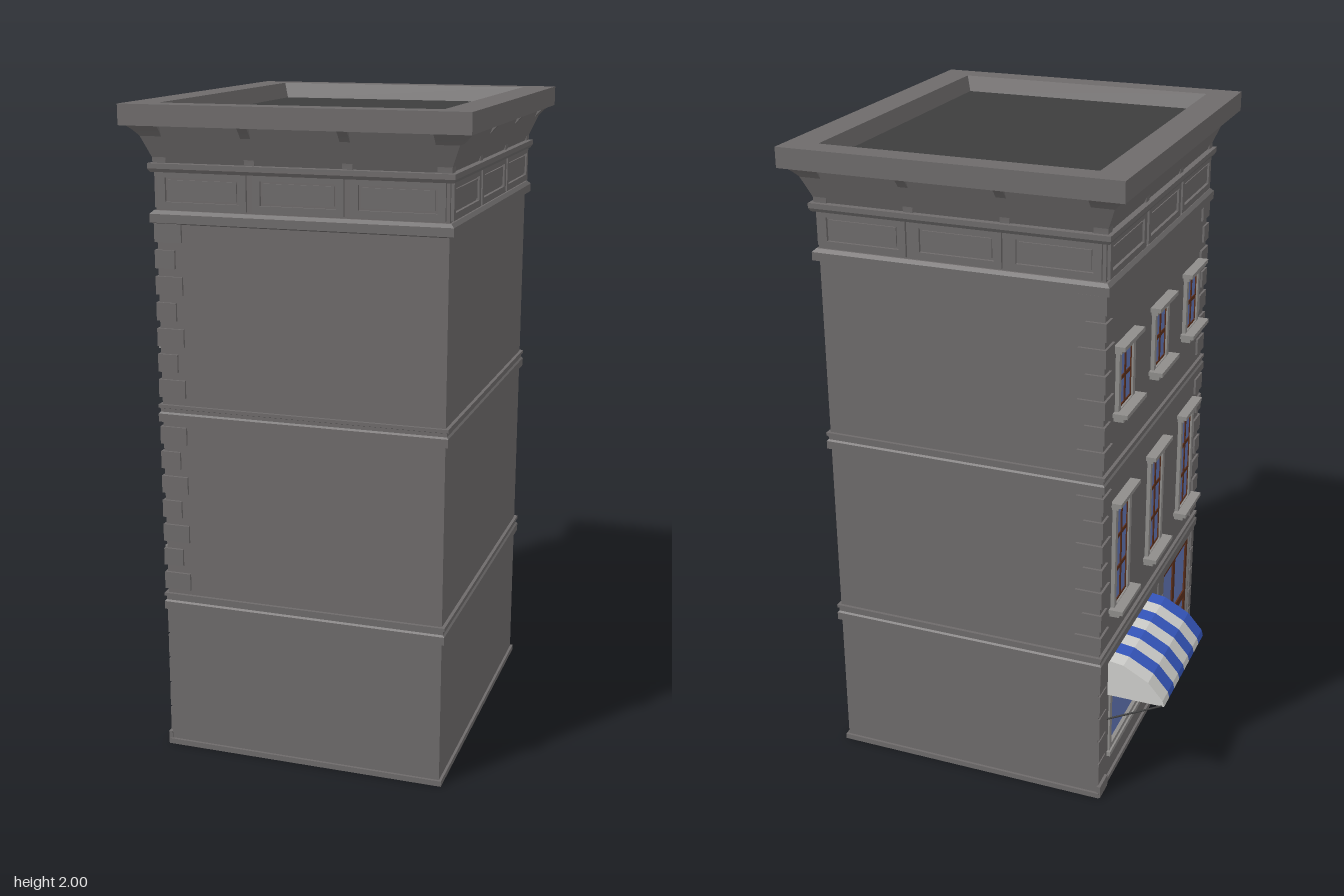
import * as THREE from 'three';

const mat = (name, color, side = THREE.FrontSide) => {
  const m = new THREE.MeshStandardMaterial({ color, side });
  m.name = name;
  return m;
};

export function createModel() {
  const stone = mat('grey stone', 0x6e6b6b, THREE.DoubleSide);
  const trim = mat('light trim', 0x8f8d8b);
  const tar = mat('dark roof', 0x3d3d3d, THREE.DoubleSide);
  const glass = mat('blue glass', 0x6277b8, THREE.DoubleSide);
  const wood = mat('brown wood', 0x5c2f1c);
  const blue = mat('awning blue', 0x3556bd, THREE.DoubleSide);
  const white = mat('awning white', 0xcfcfcc, THREE.DoubleSide);

  const model = new THREE.Group();
  model.name = 'cornerBuilding';
  const CX = 0.053, HX = 0.435, HZ = 0.513;

  const add = (parent, name, geo, m) => {
    const mesh = new THREE.Mesh(geo, m);
    mesh.name = name;
    parent.add(mesh);
    return mesh;
  };
  // box from its minimum and maximum on each axis
  const box = (parent, name, m, x0, x1, y0, y1, z0, z1) =>
    add(parent, name, new THREE.BoxGeometry(x1 - x0, y1 - y0, z1 - z0), m)
      .position.set((x0 + x1) / 2, (y0 + y1) / 2, (z0 + z1) / 2);
  // sweep a profile of [out, y, outZ] round the four sides of the body
  const moulding = (name, m, profile) => {
    const signs = [[-1, 1], [1, 1], [1, -1], [-1, -1]], pos = [];
    const at = ([o, y, oz = o], [sx, sz]) => [CX + sx * (HX + o), y, sz * (HZ + oz)];
    for (let i = 0; i < profile.length - 1; i++)
      for (let s = 0; s < 4; s++) {
        const a = signs[s], b = signs[(s + 1) % 4], lo = profile[i], hi = profile[i + 1];
        pos.push(...at(lo, a), ...at(lo, b), ...at(hi, b), ...at(lo, a), ...at(hi, b), ...at(hi, a));
      }
    const geo = new THREE.BufferGeometry();
    geo.setAttribute('position', new THREE.Float32BufferAttribute(pos, 3));
    geo.computeVertexNormals();
    return add(model, name, geo, m);
  };
  // rectangular shape, and a flat frame with rectangular holes
  const rect = (C, x0, x1, y0, y1) => {
    const s = new C();
    s.moveTo(x0, y0).lineTo(x1, y0).lineTo(x1, y1).lineTo(x0, y1).closePath();
    return s;
  };
  const frame = (outer, holes, depth) => {
    const s = rect(THREE.Shape, ...outer);
    holes.forEach(h => s.holes.push(rect(THREE.Path, ...h)));
    return new THREE.ExtrudeGeometry(s, { depth, bevelEnabled: false });
  };
  const plane = (name, w, d, y, up) => {
    const mesh = add(model, name, new THREE.PlaneGeometry(w, d), tar);
    mesh.rotation.x = up ? -Math.PI / 2 : Math.PI / 2;
    mesh.position.set(CX, y, 0);
    return mesh;
  };

  // main walls, ground floor open underneath
  const X0 = CX - HX, X1 = CX + HX, T = 0.012;
  moulding('upperWalls', stone, [[0, 0.46], [0, 1.84]]);
  box(model, 'groundWallFront', stone, X0, X1, 0, 0.47, HZ - T, HZ);
  box(model, 'groundWallBack', stone, X0, X1, 0, 0.47, -HZ, -HZ + T);
  box(model, 'groundWallSide', stone, X1 - T, X1, 0, 0.47, -HZ + T, HZ - T);
  plane('shopCeiling', HX * 2, HZ * 2, 0.49, false);

  // base strip, storey bands and frieze ledges
  const plinth = (x0, x1, z0, z1) => box(model, 'basePlinth', stone, x0, x1, 0, 0.017, z0, z1);
  plinth(X0 - 0.008, X1 + 0.008, HZ - T, HZ + 0.008);
  plinth(X0 - 0.008, X1 + 0.008, -HZ - 0.008, -HZ + T);
  plinth(X1 - T, X1 + 0.008, -HZ, HZ);
  for (const y of [0.46, 1.062])
    moulding('storeyBand', stone, [[0, y], [0.01, y], [0.01, y + 0.025], [0.005, y + 0.03],
      [0.005, y + 0.041], [0.01, y + 0.043], [0.01, y + 0.053], [0, y + 0.053]]);
  moulding('friezeLowerLedge', stone, [[0, 1.655], [0.016, 1.66], [0.016, 1.685], [0.006, 1.695], [0, 1.695]]);
  moulding('friezeUpperLedge', stone, [[0, 1.805], [0.012, 1.805], [0.018, 1.815], [0.018, 1.83], [-0.02, 1.832]]);

  // cornice: sloping soffit, overhanging slab, parapet lip and roof
  moulding('corniceSoffit', stone, [[0, 1.83], [0.045, 1.942]]);
  moulding('corniceSlab', stone, [[0, 1.94], [0.075, 1.94, 0.08], [0.075, 2, 0.08],
    [-0.02, 2, 0.004], [-0.036, 1.95, -0.012]]);
  plane('flatRoof', (HX - 0.036) * 2, (HZ - 0.012) * 2, 1.952, true);

  // curved brackets: the outer vertices of a box flare with height
  const bracket = (parent, x0, x1, z0, z1, flareX, flareZ) => {
    const geo = new THREE.BoxGeometry(x1 - x0, 0.112, z1 - z0, 1, 7, 1);
    geo.translate((x0 + x1) / 2, 1.886, (z0 + z1) / 2);
    const p = geo.attributes.position;
    for (let i = 0; i < p.count; i++) {
      const t = Math.max(0, (p.getY(i) - 1.83) / 0.112), out = 0.006 + 0.058 * t ** 2.3;
      if (flareX && (p.getX(i) - (x0 + x1) / 2) * flareX > 0) p.setX(i, p.getX(i) + flareX * out);
      if (flareZ && (p.getZ(i) - (z0 + z1) / 2) * flareZ > 0) p.setZ(i, p.getZ(i) + flareZ * out);
    }
    geo.computeVertexNormals();
    add(parent, 'corniceBracket', geo, stone);
  };
  const span = (s, edge, w) => s > 0 ? [edge - w, edge] : [-edge, -edge + w];
  for (const sx of [-1, 1]) for (const sz of [-1, 1]) {
    const [a, b] = span(sx, HX, 0.035), [c, d] = span(sz, HZ, 0.03);
    bracket(model, CX + a, CX + b, c, d, sx, sz);
  }

  // each side in its own frame: x along the wall, z outward
  const sides = [0, 1, 2, 3].map(k => {
    const g = new THREE.Group(), across = k % 2 ? HX : HZ, half = k % 2 ? HZ : HX;
    g.name = ['frontSide', 'rightSide', 'backSide', 'streetSide'][k];
    g.rotation.y = k * Math.PI / 2;
    g.position.set(CX + Math.sin(g.rotation.y) * across, 0, Math.cos(g.rotation.y) * across);
    model.add(g);
    const pitch = half * 2 / 3;
    for (const i of [-1, 0, 1]) {
      const c = i * pitch, w = pitch / 2 - 0.01;
      add(g, 'friezePanelFrame', frame([c - w, c + w, 1.7, 1.805],
        [[c - w + 0.022, c + w - 0.022, 1.72, 1.79]], 0.009), stone);
      box(g, 'friezePanel', stone, c - w + 0.03, c + w - 0.03, 1.727, 1.783, 0, 0.005);
    }
    for (const s of [-0.5, 0.5]) bracket(g, s * pitch - 0.015, s * pitch + 0.015, -0.05, 0, 0, 1);
    return g;
  });

  // corner quoins, alternating long and short
  for (const sz of [-1, 1]) for (const start of [0.555, 1.165])
    for (let i = 0; i < 7; i++) {
      const len = i % 2 ? 0.055 : 0.077, y = start + i * 0.0775;
      const [z0, z1] = span(sz, HZ + 0.008, len);
      box(model, 'quoin', stone, X0 - 0.007, X0 + len, y - 0.027, y + 0.027, z0, z1);
    }

  // street side: shopfront wall with window and door openings
  const street = sides[3];
  const wall = add(street, 'shopfrontWall', frame([-HZ, HZ, 0, 0.47],
    [[-0.4, 0.02, 0.12, 0.42], [0.15, 0.48, 0.012, 0.435]], 0.02), stone);
  wall.position.z = -0.02;
  box(street, 'shopGlass', glass, -0.4, 0.02, 0.12, 0.42, -0.013, -0.008);
  const shopFrame = add(street, 'shopWindowFrame', frame([-0.415, 0.035, 0.105, 0.435],
    [[-0.395, 0.015, 0.125, 0.415]], 0.012), trim);
  shopFrame.position.z = -0.006;
  box(street, 'shopSill', trim, -0.425, 0.045, 0.095, 0.11, 0, 0.012);
  box(street, 'streetPlinth', stone, -HZ, 0.15, 0, 0.017, 0, 0.008);

  // pilasters of stacked blocks
  for (const [a, b] of [[-0.513, -0.45], [0.085, 0.145], [0.483, 0.513]]) {
    box(street, 'pilasterFoot', stone, a - 0.004, b + 0.004, 0, 0.04, 0, 0.012);
    for (let i = 0; i < 5; i++)
      box(street, 'pilasterBlock', stone, a, b, 0.046 + i * 0.083, 0.122 + i * 0.083, 0, 0.005);
  }

  // double door with glazed panes
  const panes = [];
  for (const x of [0.17, 0.328]) for (const [y0, y1] of [[0.045, 0.185], [0.215, 0.41]])
    panes.push([x, x + 0.132, y0, y1]);
  const door = add(street, 'doubleDoor', frame([0.15, 0.48, 0.012, 0.435], panes, 0.014), wood);
  door.position.z = -0.022;
  box(street, 'doorGlass', glass, 0.155, 0.475, 0.03, 0.42, -0.017, -0.013);

  // upper windows: glass, sash bars, surround, sill and head
  const windowUnit = (x, y0, y1, rows) => {
    const w = 0.055, cells = [], h = (y1 - y0) / rows;
    for (let r = 0; r < rows; r++) for (const c of [-1, 0])
      cells.push([x + c * w + 0.005, x + (c + 1) * w - 0.005, y0 + r * h + 0.006, y0 + (r + 1) * h - 0.006]);
    box(street, 'windowGlass', glass, x - w, x + w, y0, y1, 0, 0.003);
    add(street, 'windowSash', frame([x - w, x + w, y0, y1], cells, 0.006), wood);
    add(street, 'windowSurround', frame([x - 0.075, x + 0.075, y0 - 0.005, y1 + 0.015],
      [[x - w, x + w, y0, y1]], 0.012), trim);
    box(street, 'windowSill', trim, x - 0.092, x + 0.092, y0 - 0.015, y0 - 0.002, 0, 0.044);
    box(street, 'windowSillBase', trim, x - 0.082, x + 0.082, y0 - 0.03, y0 - 0.015, 0, 0.03);
    box(street, 'windowHead', trim, x - 0.092, x + 0.092, y1 + 0.015, y1 + 0.028, 0, 0.033);
    box(street, 'windowHeadBase', trim, x - 0.082, x + 0.082, y1 + 0.002, y1 + 0.015, 0, 0.02);
  };
  for (const x of [-0.34, 0, 0.34]) {
    windowUnit(x, 0.635, 0.965, 3);
    windowUnit(x, 1.28, 1.455, 2);
  }

  // striped awning: thin curved shell in eight strips, end cheeks and stays
  const awning = new THREE.Group();
  awning.name = 'awning';
  street.add(awning);
  const arc = [[0, 0.45], [0.05, 0.443], [0.13, 0.4], [0.178, 0.345], [0.183, 0.325]];
  const under = [[0.178, 0.325], [0.173, 0.343], [0.126, 0.395], [0.048, 0.438], [0, 0.445]];
  const toShape = pts => new THREE.Shape(pts.map(p => new THREE.Vector2(...p)));
  const STRIPE = 0.0551, A0 = -0.427;
  for (let i = 0; i < 8; i++) {
    const geo = new THREE.ExtrudeGeometry(toShape([...arc, ...under]), { depth: STRIPE, bevelEnabled: false });
    geo.rotateY(-Math.PI / 2).translate(A0 + (i + 1) * STRIPE, 0, 0);
    add(awning, 'awningStripe', geo, i % 2 ? blue : white);
  }
  for (const [x, m] of [[A0 + 0.001, white], [A0 + 8 * STRIPE - 0.001, blue]]) {
    const cheek = new THREE.ShapeGeometry(toShape([...arc, [0, 0.325]]));
    cheek.rotateY(-Math.PI / 2).translate(x, 0, 0);
    add(awning, 'awningCheek', cheek, m);
    const line = new THREE.LineCurve3(new THREE.Vector3(x, 0.235, 0), new THREE.Vector3(x, 0.328, 0.178));
    add(awning, 'awningStay', new THREE.TubeGeometry(line, 1, 0.003, 6), tar);
  }
  return model;
}
